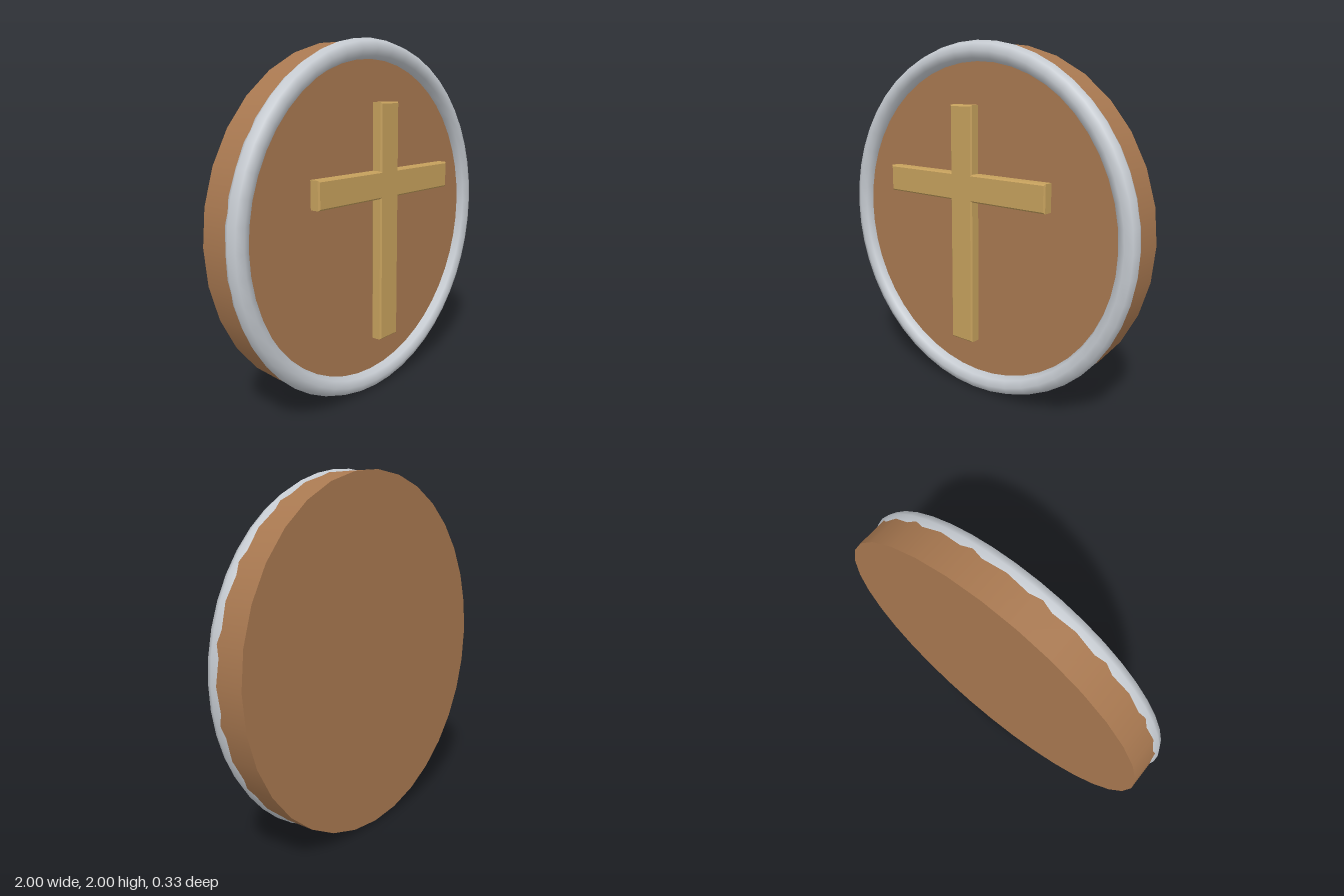
import * as THREE from 'three';

export function createModel() {
  const wood = new THREE.MeshStandardMaterial({ color: 0xa87850 });
  wood.name = 'wood brown';
  const silver = new THREE.MeshStandardMaterial({ color: 0xc5cad0 });
  silver.name = 'silver';
  const gold = new THREE.MeshStandardMaterial({ color: 0xc5a05c });
  gold.name = 'gold';

  const model = new THREE.Group();
  model.name = 'crossMedallion';
  const add = (name, geometry, material, y, z) => {
    const mesh = new THREE.Mesh(geometry, material);
    mesh.name = name;
    mesh.position.set(0, y, z);
    model.add(mesh);
  };

  // Round wooden backing, its front face level with the middle of the rim
  const back = -0.165, face = 0.028;
  const disc = new THREE.CylinderGeometry(0.99, 0.99, face - back, 32);
  disc.rotateX(Math.PI / 2);
  add('disc', disc, wood, 1, (face + back) / 2);

  // Metal rim
  add('rim', new THREE.TorusGeometry(0.945, 0.055, 8, 48), silver, 1, face);

  // Cross in one piece with a narrow bevel, standing clear of the face
  const b = 0.008, w = 0.075 - b, arm = 0.548 - b;
  const top = 1.665 - b, bottom = 0.345 + b, armTop = 1.3 - b, armBottom = 1.15 + b;
  const outline = new THREE.Shape([
    [-w, bottom], [w, bottom], [w, armBottom], [arm, armBottom], [arm, armTop], [w, armTop],
    [w, top], [-w, top], [-w, armTop], [-arm, armTop], [-arm, armBottom], [-w, armBottom],
  ].map(([x, y]) => new THREE.Vector2(x, y)));
  const cross = new THREE.ExtrudeGeometry(outline, {
    depth: 0.066 - 2 * b, bevelEnabled: true, bevelSize: b, bevelThickness: b, bevelSegments: 1,
  });
  add('cross', cross, gold, 0, 0.099 + b);

  return model;
}
